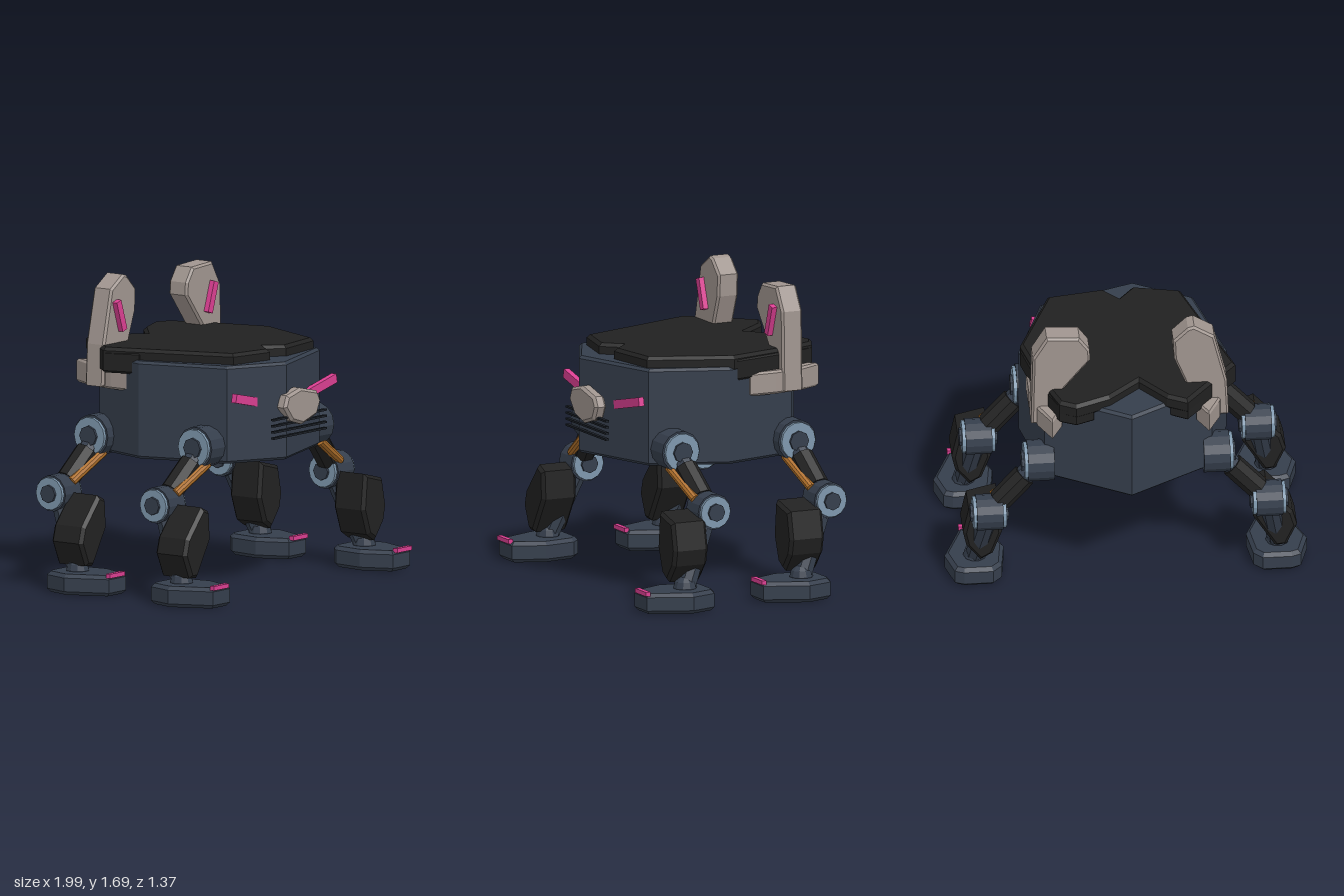
import * as THREE from 'three';

const mat = (name, color) => {
  const m = new THREE.MeshStandardMaterial({ color, flatShading: true });
  m.name = name;
  return m;
};
const navy = mat('navy hull', 0x353e4c);
const black = mat('black armour', 0x212121);
const grey = mat('warm grey plate', 0xa0958f);
const pink = mat('pink light', 0xdb3f92);
const steel = mat('pale blue steel', 0x7e97ad);
const orange = mat('orange piston', 0xb0702a);
const dark = mat('grille dark', 0x1b2027);

function add(parent, name, geometry, material, x = 0, y = 0, z = 0) {
  const mesh = new THREE.Mesh(geometry, material);
  mesh.name = name;
  mesh.position.set(x, y, z);
  parent.add(mesh);
  return mesh;
}

// Bevelled prism of an outline, filling the depth range lo..hi
function prism(points, lo, hi, bevel) {
  const shape = new THREE.Shape(points.map(([x, y]) => new THREE.Vector2(x, y)));
  const g = new THREE.ExtrudeGeometry(shape, {
    depth: hi - lo - 2 * bevel, bevelEnabled: true, bevelThickness: bevel,
    bevelSize: bevel, bevelOffset: -bevel, bevelSegments: 1,
  });
  return g.translate(0, 0, lo + bevel);
}
// The same for an outline in plan (x, z) between two heights
const planPrism = (points, lo, hi, bevel) =>
  prism(points.map(([x, z]) => [x, -z]), lo, hi, bevel).rotateX(-Math.PI / 2);

const mirror = (points, s) => points.map(([x, y]) => [x * s, y]);

// Round bar between two points
function bar(parent, name, a, b, radius, material, sides = 12) {
  const p = new THREE.Vector3(...a), q = new THREE.Vector3(...b);
  const d = q.clone().sub(p);
  const m = add(parent, name, new THREE.CylinderGeometry(radius, radius, d.length(), sides), material);
  m.position.copy(p).add(q).multiplyScalar(0.5);
  m.quaternion.setFromUnitVectors(new THREE.Vector3(0, 1, 0), d.normalize());
  return m;
}

// Joint drum along x with steel rings and hubs on its faces
function joint(parent, name, s, x0, x1, y, z, r, bothEnds) {
  bar(parent, name, [s * x0, y, z], [s * x1, y, z], r, navy, 14);
  for (const [x, dir] of bothEnds ? [[x0, -1], [x1, 1]] : [[x1, 1]]) {
    bar(parent, name + 'Ring', [s * x, y, z], [s * (x + dir * 0.018), y, z], r * 0.9, steel, 14);
    bar(parent, name + 'Hub', [s * x, y, z], [s * (x + dir * 0.032), y, z], r * 0.5, navy, 8);
  }
}

function leg(name, s, dz) {
  const g = new THREE.Group();
  g.name = name;
  g.position.z = dz;
  joint(g, 'hip', s, 0.41, 0.555, 0.815, 0.295, 0.115, false);
  joint(g, 'knee', s, 0.695, 0.84, 0.525, 0.235, 0.1, true);

  // Thigh with dark sleeve and piston
  bar(g, 'thigh', [s * 0.5, 0.8, 0.29], [s * 0.76, 0.535, 0.24], 0.055, navy, 8);
  bar(g, 'thighSleeve', [s * 0.57, 0.73, 0.277], [s * 0.71, 0.587, 0.25], 0.066, black, 8);
  bar(g, 'piston', [s * 0.51, 0.725, 0.345], [s * 0.745, 0.585, 0.305], 0.026, orange, 10);

  // Shin, ankle and shin guard
  bar(g, 'shin', [s * 0.77, 0.5, 0.245], [s * 0.83, 0.12, 0.405], 0.055, navy, 8);
  add(g, 'ankle', new THREE.SphereGeometry(0.065, 10, 6), navy, s * 0.83, 0.12, 0.41);
  const guard = s > 0
    ? [[0.711, 0.53], [0.872, 0.49], [0.904, 0.337], [0.885, 0.25], [0.807, 0.15], [0.74, 0.19], [0.69, 0.33]]
    : [[-0.765, 0.53], [-0.7, 0.5], [-0.69, 0.345], [-0.81, 0.145], [-0.872, 0.15], [-0.93, 0.28], [-0.905, 0.37]];
  add(g, 'shinGuard', prism(guard, 0.3, 0.51, 0.018), black);

  // Foot with toe light
  const sole = [[0.74, 0.675], [0.895, 0.675], [0.995, 0.44], [0.95, 0.29],
    [0.9, 0.27], [0.74, 0.27], [0.69, 0.32], [0.665, 0.5]];
  add(g, 'foot', planPrism(mirror(sole, s), 0, 0.115, 0.02), navy);
  add(g, 'toeLight', new THREE.BoxGeometry(0.135, 0.024, 0.028), pink, s * 0.832, 0.115, 0.671);
  return g;
}

export function createModel() {
  const model = new THREE.Group();
  model.name = 'fourLeggedRobot';

  // Faceted hull
  const hull = [[-0.11, 0.585], [0.41, 0.42], [0.565, 0], [0.46, -0.43], [0, -0.68],
    [-0.46, -0.43], [-0.57, -0.08], [-0.43, 0.42]];
  add(model, 'hull', planPrism(hull, 0.72, 1.26, 0.015), navy);

  // Back armour with rear lobes and the flaps hanging below them
  const cover = [[-0.6, -0.3], [-0.4, -0.53], [-0.31, -0.635], [-0.2, -0.58], [-0.06, -0.415],
    [0.11, -0.56], [0.3, -0.635], [0.39, -0.59], [0.47, -0.38], [0.56, -0.03],
    [0.37, 0.41], [0.06, 0.455], [-0.02, 0.37], [-0.1, 0.465], [-0.36, 0.41]];
  add(model, 'backArmour', planPrism(cover, 1.23, 1.32, 0.018), black);
  const flapLeft = [[0.56, -0.05], [0.48, -0.38], [0.39, -0.59], [0.3, -0.63], [0.2, -0.59], [0.35, -0.3], [0.48, -0.07]];
  const flapRight = [[-0.54, -0.1], [-0.6, -0.3], [-0.4, -0.53], [-0.31, -0.63], [-0.22, -0.58], [-0.4, -0.3], [-0.47, -0.1]];
  add(model, 'leftFlap', planPrism(flapLeft, 1.18, 1.3, 0.012), black);
  add(model, 'rightFlap', planPrism(flapRight, 1.18, 1.3, 0.012), black);

  // Snout plate and grille
  const snout = [[-0.165, 1.015], [-0.14, 1.08], [-0.02, 1.11], [0.135, 1.075], [0.165, 1.02],
    [0.13, 0.945], [0, 0.905], [-0.1, 0.935]];
  add(model, 'snout', prism(snout, 0.55, 0.62, 0.015), grey);
  for (let i = 0; i < 4; i++)
    add(model, 'grilleSlat', new THREE.BoxGeometry(0.48, 0.011, 0.022), dark, 0, 0.853 + i * 0.034, 0.588);

  // Upright fins
  const fins = {
    left: [[0.27, 1.65], [0.45, 1.66], [0.525, 1.53], [0.53, 1.32], [0.535, 1.09], [0.44, 1.09],
      [0.36, 1.31], [0.21, 1.5], [0.215, 1.57]],
    right: [[-0.54, 1.32], [-0.47, 1.62], [-0.36, 1.69], [-0.325, 1.68], [-0.245, 1.6], [-0.25, 1.48],
      [-0.31, 1.32], [-0.44, 1.09], [-0.55, 1.09]],
  };
  const bracket = [[0.43, -0.61], [0.5, -0.48], [0.535, -0.3], [0.535, -0.14], [0.5, -0.11], [0.43, -0.2], [0.37, -0.5]];
  for (const [side, s] of [['left', 1], ['right', -1]]) {
    add(model, side + 'Fin', prism(fins[side], -0.465, -0.34, 0.012), grey);
    add(model, side + 'FinBracket', planPrism(mirror(bracket, s), 1.08, 1.21, 0.012), grey);
    const finLight = add(model, side + 'FinLight', new THREE.BoxGeometry(0.042, 0.175, 0.03), pink, s * 0.415, 1.47, -0.325);
    finLight.rotation.z = -s * 0.32;
    const browLight = add(model, side + 'BrowLight', new THREE.BoxGeometry(0.31, 0.05, 0.032), pink, s * 0.305, 1.06, 0.488);
    browLight.rotation.z = s * 0.22;
    model.add(leg(side + 'FrontLeg', s, 0), leg(side + 'BackLeg', s, -0.712));
  }
  return model;
}
